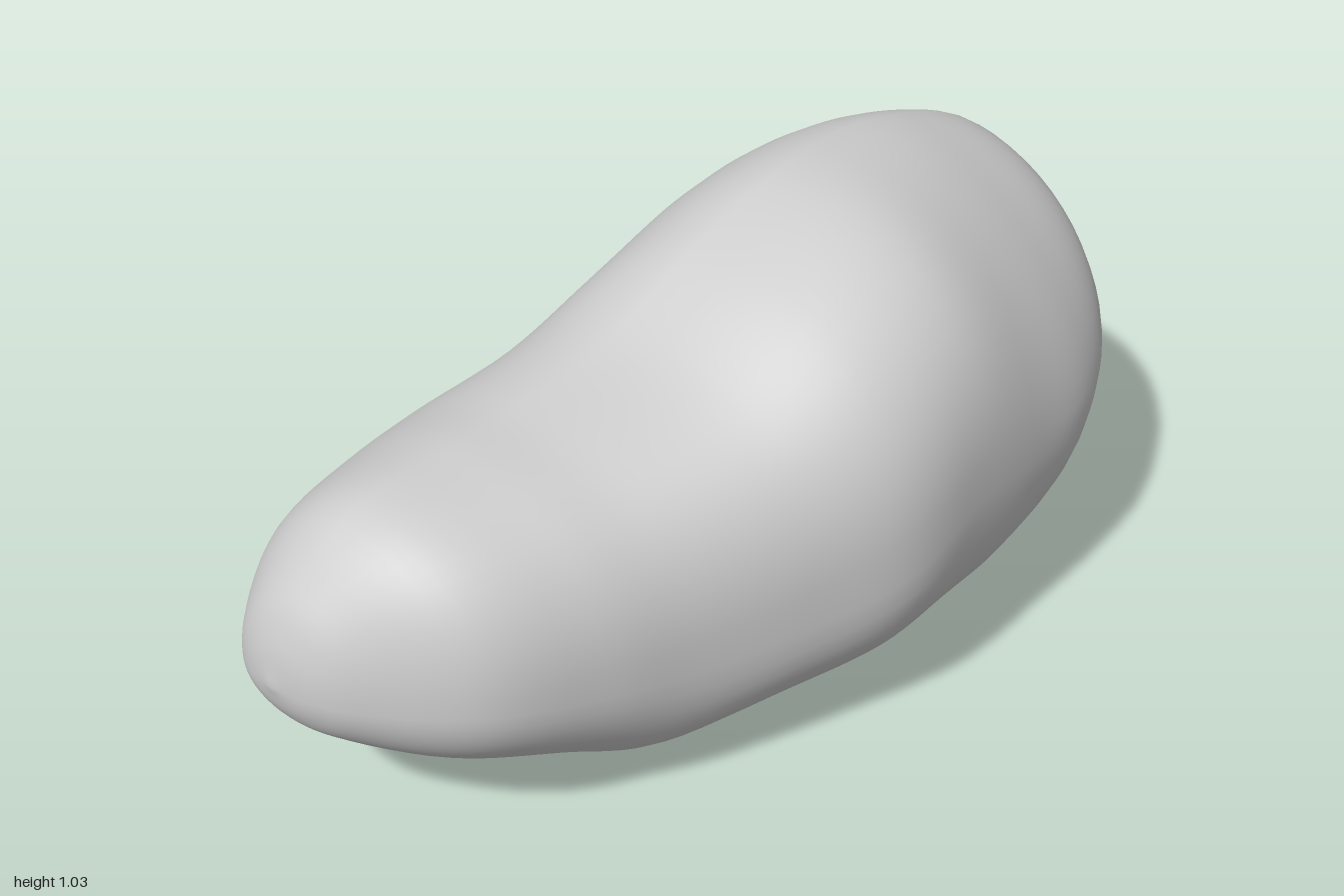
import * as THREE from 'three';
import { mergeVertices } from 'three/addons/utils/BufferGeometryUtils.js';

// Stations along x: [x, topY, topZ, frontY, frontZ, bottomY, bottomZ, backY, backZ]
const STATIONS = [
  [-1.00, 0.42, -0.20, 0.42, -0.20, 0.42, -0.20, 0.42, -0.20],
  [-0.98, 0.52, -0.19, 0.42, -0.10, 0.35, -0.20, 0.41, -0.285],
  [-0.93, 0.61, -0.18, 0.41, -0.01, 0.285, -0.20, 0.40, -0.35],
  [-0.80, 0.72, -0.16, 0.41, 0.16, 0.195, -0.20, 0.38, -0.44],
  [-0.60, 0.75, -0.13, 0.38, 0.26, 0.10, -0.17, 0.36, -0.51],
  [-0.42, 0.765, -0.11, 0.36, 0.33, 0.015, -0.13, 0.35, -0.533],
  [-0.20, 0.82, -0.08, 0.38, 0.43, 0.04, -0.08, 0.38, -0.48],
  [0.00, 0.94, -0.04, 0.43, 0.515, 0.05, -0.03, 0.42, -0.445],
  [0.20, 1.02, -0.01, 0.50, 0.53, 0.015, 0.00, 0.47, -0.44],
  [0.40, 1.03, -0.01, 0.49, 0.53, 0.00, 0.02, 0.50, -0.43],
  [0.60, 1.00, 0.01, 0.50, 0.51, 0.025, 0.02, 0.50, -0.385],
  [0.80, 0.915, 0.04, 0.53, 0.41, 0.125, 0.02, 0.49, -0.295],
  [0.93, 0.74, 0.04, 0.52, 0.24, 0.265, 0.02, 0.47, -0.195],
  [0.985, 0.60, 0.02, 0.49, 0.11, 0.39, 0.01, 0.47, -0.09],
  [1.00, 0.48, 0.01, 0.48, 0.01, 0.48, 0.01, 0.48, 0.01],
];

// Roundness at every second station: [topFront, frontBottom, bottomBack, backTop]
const ROUNDNESS = [
  [2.1, 2.1, 2.1, 2.0],
  [2.2, 2.0, 2.1, 1.9],
  [2.4, 2.15, 2.0, 1.75],
  [2.75, 2.25, 2.0, 1.75],
  [2.4, 2.2, 2.0, 1.65],
  [1.7, 1.85, 2.1, 1.6],
  [1.9, 1.85, 2.2, 1.8],
  [2.0, 2.0, 2.0, 2.0],
];
const QUARTER = 14;
const LENGTH_STEPS = 84;

const curve = (points) => new THREE.CatmullRomCurve3(points, false, 'catmullrom', 0.5);

// Lofts rounded sections between four rails: top, front, bottom and back
function rockGeometry() {
  const rails = [1, 3, 5, 7].map((k) => curve(
    STATIONS.map((s) => new THREE.Vector3(s[0], s[k], s[k + 1]))));
  const powers = [0, 1, 2, 3].map((k) => curve(
    ROUNDNESS.map((r) => new THREE.Vector3(r[k], 0, 0))));
  const around = QUARTER * 4;
  const positions = [];
  const index = [];

  for (let i = 0; i <= LENGTH_STEPS; i++) {
    const t = i / LENGTH_STEPS;
    const p = rails.map((r) => r.getPoint(t));
    const power = powers.map((r) => 2 / r.getPoint(t).x);
    for (let j = 0; j < around; j++) {
      const q = Math.floor(j / QUARTER);
      const a = ((j % QUARTER) / QUARTER) * Math.PI / 2;
      const from = p[q];
      const to = p[(q + 1) % 4];
      const c = Math.pow(Math.cos(a), power[q]);
      const s = Math.pow(Math.sin(a), power[q]);
      // Even quarters leave a top/bottom rail, odd ones leave a side rail
      const y = q % 2 === 0 ? to.y + (from.y - to.y) * c : from.y + (to.y - from.y) * s;
      const z = q % 2 === 0 ? from.z + (to.z - from.z) * s : to.z + (from.z - to.z) * c;
      positions.push(from.x, y, z);
    }
  }
  for (let i = 0; i < LENGTH_STEPS; i++) {
    for (let j = 0; j < around; j++) {
      const k = (j + 1) % around;
      const a = i * around + j, b = a + around;
      const c = i * around + k, d = c + around;
      if (i > 0) index.push(a, c, b);
      if (i < LENGTH_STEPS - 1) index.push(b, c, d);
    }
  }

  let geometry = new THREE.BufferGeometry();
  geometry.setAttribute('position', new THREE.Float32BufferAttribute(positions, 3));
  geometry.setIndex(index);
  geometry = mergeVertices(geometry); // closes the two tips
  geometry.computeVertexNormals();
  return geometry;
}

export function createModel() {
  const group = new THREE.Group();
  group.name = 'asteroid';
  const rock = new THREE.Mesh(rockGeometry(), new THREE.MeshStandardMaterial({ color: 0xcccccc }));
  rock.name = 'rockBody';
  group.add(rock);
  return group;
}
